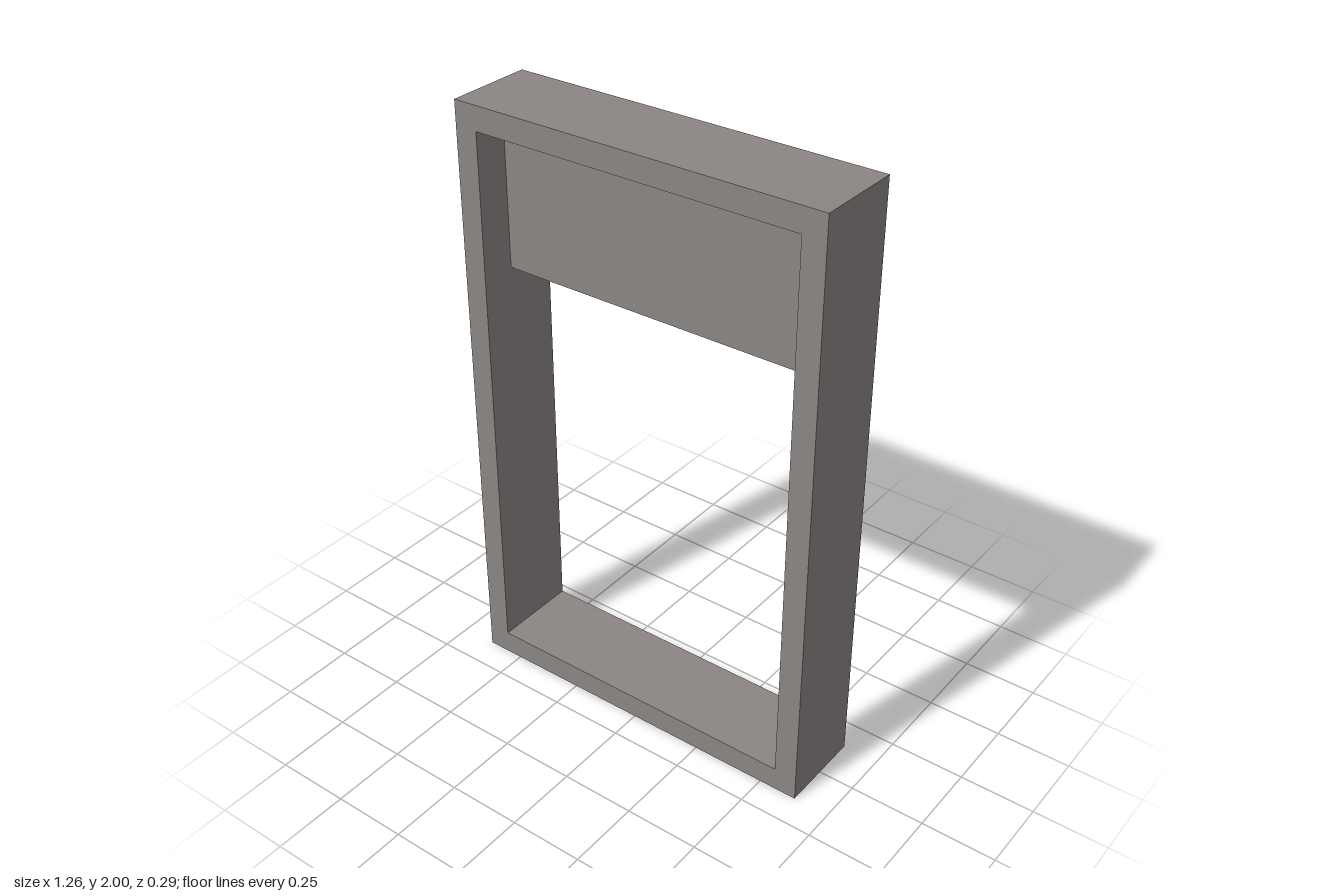
import * as THREE from 'three';

export function createModel() {
  const group = new THREE.Group();
  const grey = new THREE.MeshStandardMaterial({ color: 0x8b8684 });
  grey.name = 'warm grey';

  const W = 0.63, H = 2, DEPTH = 0.294;
  const innerW = 0.553, innerBottom = 0.08, innerTop = 1.92;

  // Rectangular frame with an open middle
  const outline = new THREE.Shape([
    new THREE.Vector2(-W, 0), new THREE.Vector2(W, 0),
    new THREE.Vector2(W, H), new THREE.Vector2(-W, H),
  ]);
  outline.holes.push(new THREE.Path([
    new THREE.Vector2(-innerW, innerBottom), new THREE.Vector2(-innerW, innerTop),
    new THREE.Vector2(innerW, innerTop), new THREE.Vector2(innerW, innerBottom),
  ]));
  const frameGeometry = new THREE.ExtrudeGeometry(outline, { depth: DEPTH, bevelEnabled: false });
  frameGeometry.translate(0, 0, -DEPTH / 2);
  const frame = new THREE.Mesh(frameGeometry, grey);
  frame.name = 'frame';
  group.add(frame);

  // Raised sash panel, centred in the depth of the frame
  const panelBottom = 1.44;
  const panel = new THREE.Mesh(
    new THREE.BoxGeometry(innerW * 2, innerTop - panelBottom, 0.06), grey);
  panel.position.y = (innerTop + panelBottom) / 2;
  panel.name = 'upperPanel';
  group.add(panel);

  return group;
}
